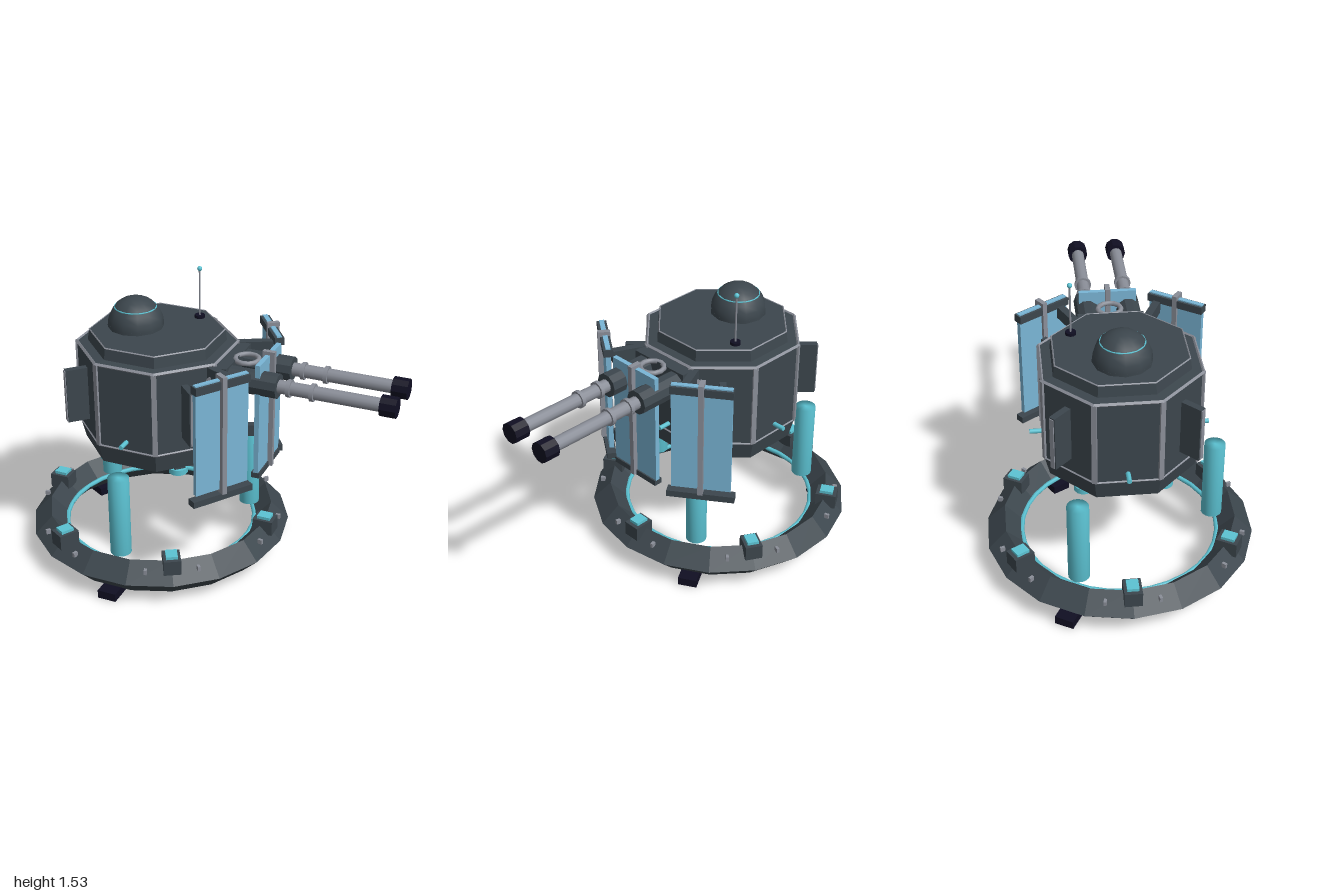
import * as THREE from 'three';

const mat = (name, color) => Object.assign(new THREE.MeshStandardMaterial({ color }), { name });

export function createModel() {
  const root = new THREE.Group();
  root.name = 'twinGunTurret';
  const dark = mat('dark armour', 0x3c464d);
  const steel = mat('steel', 0x8a8e98);
  const cyan = mat('cyan light', 0x5cc3d3);
  const blue = mat('blue shield', 0x7ab6d6);
  const navy = mat('navy black', 0x100f22);
  const CX = -0.3; // turret axis

  const flat = (g) => {
    const n = g.toNonIndexed();
    n.computeVertexNormals();
    return n;
  };
  const add = (parent, name, geo, material, x = 0, y = 0, z = 0) => {
    const m = new THREE.Mesh(geo, material);
    m.name = name;
    m.position.set(x, y, z);
    parent.add(m);
    return m;
  };
  const box = (w, h, d) => new THREE.BoxGeometry(w, h, d);
  const rod = (r, len, n = 12) => new THREE.CylinderGeometry(r, r, len, n);
  const rodX = (r, len, n = 12) => rod(r, len, n).rotateZ(-Math.PI / 2);
  const hoop = (r, t, sides, n) => new THREE.TorusGeometry(r, t, sides, n).rotateX(-Math.PI / 2);
  // group on the turret axis whose local +x points outward at the given angle
  const spoke = (name, degrees) => {
    const g = new THREE.Group();
    g.name = name;
    g.position.x = CX;
    g.rotation.y = -THREE.MathUtils.degToRad(degrees);
    root.add(g);
    return g;
  };

  // base ring with its inner light strip
  add(root, 'baseRing', flat(hoop(0.605, 0.095, 4, 18)), dark, CX, 0.135, 0);
  add(root, 'ringLight', hoop(0.515, 0.013, 6, 32), cyan, CX, 0.14, 0);

  // blocks and rivets on the ring
  for (let i = 0; i < 6; i++) {
    const s = spoke('ringBlock', i * 60);
    add(s, 'block', box(0.11, 0.08, 0.09), dark, 0.61, 0.222, 0);
    add(s, 'blockLight', box(0.07, 0.02, 0.06), cyan, 0.61, 0.268, 0);
    for (const off of [-12, 12]) {
      add(spoke('rivet', i * 60 + off), 'rivetHead', box(0.025, 0.025, 0.015), steel, 0.65, 0.195, 0);
    }
  }

  // feet and lift columns
  const column = new THREE.LatheGeometry(
    [[0, 0.19], [0.055, 0.19], [0.055, 0.63], [0, 0.63]].map((p) => new THREE.Vector2(...p)), 16);
  for (const a of [90, 210, 330]) {
    const s = spoke('support', a);
    add(s, 'foot', box(0.12, 0.045, 0.1), navy, 0.61, 0.0225, 0);
    add(s, 'column', column, cyan, 0.49, 0, 0);
  }

  // octagonal body, profile given by distance to the flat sides
  const k = 1 / Math.cos(Math.PI / 8);
  const profile = [[0, 0.56], [0.19, 0.56], [0.255, 0.625], [0.36, 0.625], [0.384, 0.73],
    [0.384, 1.18], [0.33, 1.185], [0.322, 1.245], [0, 1.245]];
  add(root, 'body', flat(new THREE.LatheGeometry(
    profile.map(([r, y]) => new THREE.Vector2(r * k, y)), 8, Math.PI / 8)), dark, CX, 0, 0);
  for (const [r, y, t] of [[0.382, 1.178, 0.01], [0.382, 0.73, 0.008], [0.32, 1.243, 0.005]]) {
    add(root, 'bodyTrim', flat(hoop(r * k, t, 4, 8).rotateY(Math.PI / 8)), steel, CX, y, 0);
  }
  for (let i = 0; i < 8; i++) {
    add(spoke('cornerTrim', 22.5 + i * 45), 'strip', box(0.018, 0.45, 0.026), steel, 0.412, 0.955, 0);
  }

  // side fins, belly thrusters and marker lights
  for (let i = 0; i < 4; i++) {
    const s = spoke('finSide', 45 + i * 90);
    add(s, 'fin', box(0.12, 0.29, 0.034), dark, 0.437, 0.955, 0);
    add(s, 'finEdge', box(0.006, 0.28, 0.024), steel, 0.499, 0.955, 0);
    add(s, 'thruster', rod(0.05, 0.03), cyan, 0.28, 0.57, 0);
    add(s, 'thrusterMount', box(0.06, 0.05, 0.06), dark, 0.28, 0.605, 0);
    add(spoke('marker', i * 90), 'markerLight', rodX(0.012, 0.08, 8), cyan, 0.41, 0.778, 0);
  }

  // dome
  add(root, 'dome', new THREE.SphereGeometry(0.145, 12, 6, 0, Math.PI * 2, 0, Math.PI / 2), dark, -0.42, 1.258, 0);
  add(root, 'domeCollar', rod(0.145, 0.02), dark, -0.42, 1.25, 0);
  add(root, 'domeLight', hoop(0.107, 0.004, 6, 24), cyan, -0.42, 1.35, 0);

  // antenna
  add(root, 'antennaBase', rod(0.027, 0.016), navy, -0.16, 1.252, -0.225);
  add(root, 'antennaRod', rod(0.005, 0.26, 8), steel, -0.16, 1.38, -0.225);
  add(root, 'antennaTip', new THREE.SphereGeometry(0.013, 10, 8), cyan, -0.16, 1.513, -0.225);

  // gun mount with trunnion and sight ring
  add(root, 'gunMount', box(0.1, 0.15, 0.34), dark, 0.1, 1.095, 0);
  add(root, 'trunnion', rod(0.03, 0.4).rotateX(Math.PI / 2), steel, 0.085, 1.1, 0);
  add(root, 'sightRing', hoop(0.06, 0.013, 8, 12), steel, 0.195, 1.165, 0);

  // twin guns
  for (const z of [-0.108, 0.108]) {
    const gun = new THREE.Group();
    gun.name = 'gun';
    gun.position.set(0, 1.1, z);
    root.add(gun);
    add(gun, 'breech', flat(rodX(0.063, 0.285, 10)), dark, 0.262);
    add(gun, 'barrel', rodX(0.034, 0.54), steel, 0.66);
    for (const x of [0.46, 0.58]) add(gun, 'barrelRing', rodX(0.045, 0.02), steel, x);
    add(gun, 'muzzle', flat(rodX(0.053, 0.08, 10)), navy, 0.96);
  }

  // three shield plates with rails and posts
  for (const a of [-35, 0, 35]) {
    const s = spoke('shield', a);
    add(s, 'plate', box(0.025, 0.6, 0.3), blue, 0.607, 0.91, 0);
    add(s, 'post', box(0.065, 0.64, 0.026), steel, 0.612, 0.908, 0);
    if (a) {
      add(s, 'topRail', box(0.05, 0.04, 0.31), dark, 0.607, 1.183, 0);
      add(s, 'bottomRail', box(0.05, 0.035, 0.345), dark, 0.61, 0.572, 0);
    } else {
      add(s, 'bottomRail', box(0.045, 0.03, 0.3), dark, 0.605, 0.597, 0);
    }
  }

  // arms from the body to the shields
  for (const a of [-25, 25]) {
    for (const y of [0.655, 1.14]) {
      add(spoke('shieldArm', a), 'arm', box(0.22, 0.065, 0.04), dark, 0.485, y, 0);
    }
  }
  return root;
}
